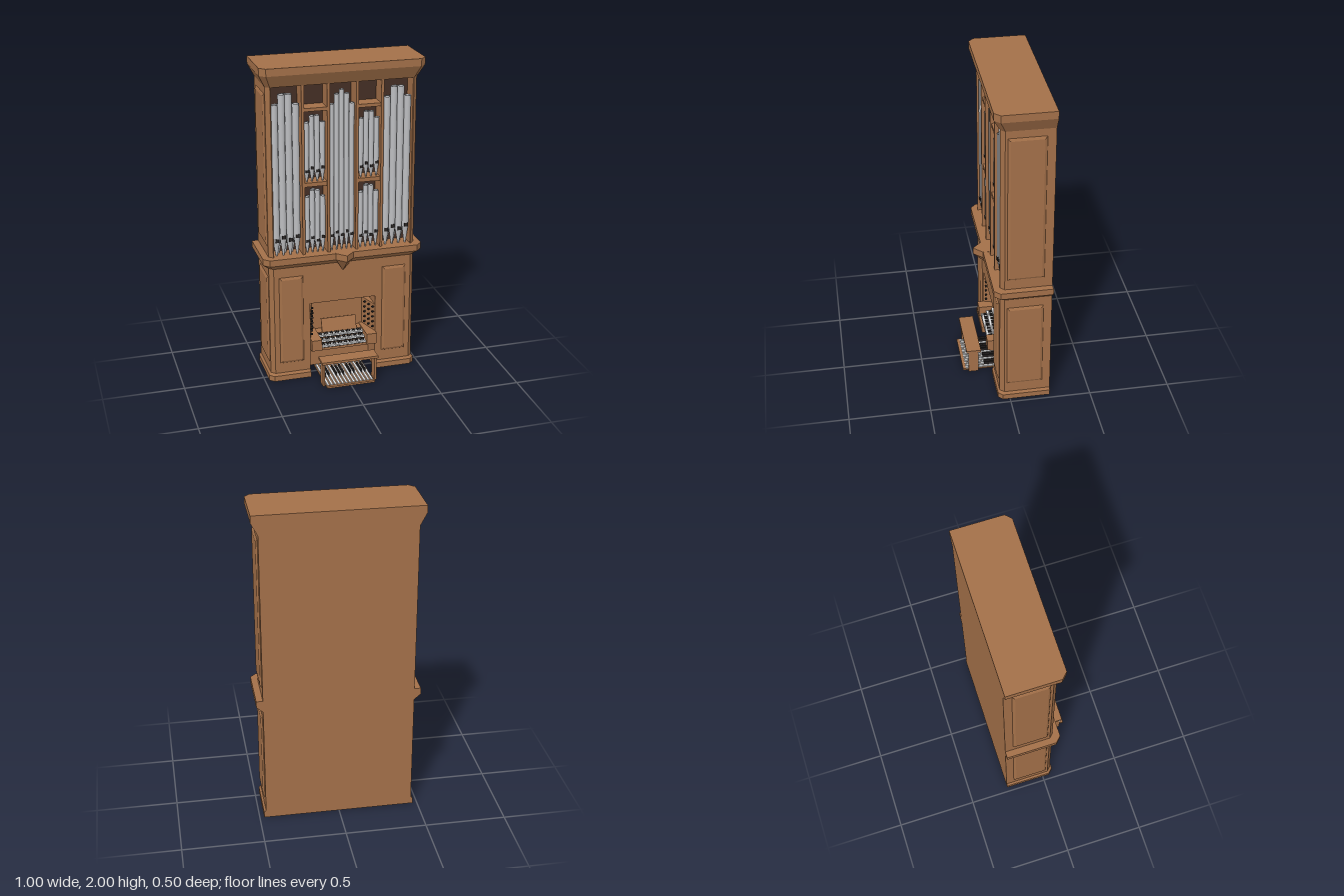
import * as THREE from 'three';

const mat = (name, color) => {
  const m = new THREE.MeshStandardMaterial({ color });
  m.name = name;
  return m;
};

// Prism or taper through rings of [x, z] points at rising heights, capped, flat normals
function loft(levels) {
  const flat = p => new THREE.Vector2(p[0], -p[1]);
  if (THREE.ShapeUtils.area(levels[0][1].map(flat)) < 0) {
    levels = levels.map(([y, r]) => [y, [...r].reverse()]);
  }
  const pos = [];
  const put = (y, p) => pos.push(p[0], y, p[1]);
  for (let k = 0; k < levels.length - 1; k++) {
    const [ya, a] = levels[k], [yb, b] = levels[k + 1];
    for (let i = 0; i < a.length; i++) {
      const j = (i + 1) % a.length;
      put(ya, a[i]); put(ya, a[j]); put(yb, b[j]);
      put(ya, a[i]); put(yb, b[j]); put(yb, b[i]);
    }
  }
  const tris = THREE.ShapeUtils.triangulateShape(levels[0][1].map(flat), []);
  const [y0, bottom] = levels[0], [y1, top] = levels[levels.length - 1];
  for (const [a, b, c] of tris) {
    put(y0, bottom[a]); put(y0, bottom[c]); put(y0, bottom[b]);
    put(y1, top[a]); put(y1, top[b]); put(y1, top[c]);
  }
  const g = new THREE.BufferGeometry();
  g.setAttribute('position', new THREE.Float32BufferAttribute(pos, 3));
  g.computeVertexNormals();
  return g;
}

// Case plan: flat back, chamfered front corners, optional notch cut in the front
function plan(e, notch) {
  const w = 0.46 + e, f = 0.06 + e, c = 0.025 + e * 0.25;
  const cut = notch ? [[-notch[0], f], [-notch[0], notch[1]], [notch[0], notch[1]], [notch[0], f]] : [];
  return [[-w + c, f], ...cut, [w - c, f], [w, f - c], [w, -0.25], [-w, -0.25], [-w, f - c]];
}
const caseGeo = (steps, notch) => loft(steps.map(([y, e]) => [y, plan(e, notch)]));

const rect = (w, h) => [[-w / 2, h / 2], [w / 2, h / 2], [w / 2, -h / 2], [-w / 2, -h / 2]];

export function createModel() {
  const root = new THREE.Group();
  root.name = 'pipeOrgan';
  const wood = mat('wood', 0xa37049);
  const dark = mat('darkWood', 0x452f25);
  const metal = mat('pipeMetal', 0xbcbdc0);
  metal.side = THREE.DoubleSide;
  const white = mat('ivory', 0xdedfe0);
  const black = mat('ebony', 0x2a2625);

  const add = (name, geo, m, x = 0, y = 0, z = 0, parent = root) => {
    const mesh = new THREE.Mesh(geo, m);
    mesh.name = name;
    mesh.position.set(x, y, z);
    parent.add(mesh);
    return mesh;
  };
  const box = (name, m, w, h, d, x, y, z, parent) =>
    add(name, new THREE.BoxGeometry(w, h, d), m, x, y, z, parent);

  // Case
  add('lowerCase', caseGeo([[0, 0.012], [0.035, 0.012], [0.05, 0], [0.5, 0]], [0.21, -0.08]), wood);
  add('middleLedge', caseGeo([[0.5, 0], [0.755, 0], [0.79, 0.04], [0.83, 0.04]]), wood);
  add('upperCase', caseGeo([[0.83, 0], [1.88, 0]], [0.43, -0.05]), wood);
  add('cornice', caseGeo([[1.88, 0], [1.955, 0.04], [2, 0.04]]), wood);
  box('pipeBacking', dark, 0.86, 1.05, 0.006, 0, 1.355, -0.047);

  // Pointed bracket in the middle of the ledge
  const prow = [[-0.055, 0.06], [-0.055, 0.1], [0, 0.155], [0.055, 0.1], [0.055, 0.06]];
  add('centreBracket', loft([
    [0.7, prow.map(p => [p[0] * 0.01, 0.058 + (p[1] - 0.06) * 0.01])], [0.79, prow], [0.831, prow],
  ]), wood);

  // Raised panels on the sides and lower front
  const panel = (name, w, h, x, y, z, turn) => {
    const g = loft([[0, rect(w, h)], [0.004, rect(w - 0.006, h - 0.006)], [0.01, rect(w - 0.03, h - 0.03)]]);
    g.rotateX(Math.PI / 2);
    add(name, g, wood, x, y, z).rotation.y = turn;
  };
  for (const s of [-1, 1]) {
    panel('lowerFrontPanel', 0.15, 0.575, s * 0.328, 0.405, 0.06, 0);
    panel('lowerSidePanel', 0.22, 0.575, s * 0.46, 0.405, -0.09, s * Math.PI / 2);
    panel('upperSidePanel', 0.22, 0.94, s * 0.46, 1.365, -0.09, s * Math.PI / 2);
    // Posts and shelves between the pipe bays
    box('bayPost', wood, 0.016, 1.05, 0.105, s * 0.243, 1.355, 0.008);
    box('bayPost', wood, 0.016, 1.05, 0.105, s * 0.088, 1.355, 0.008);
    box('bayShelf', wood, 0.14, 0.025, 0.1, s * 0.165, 1.27, 0.003);
    box('bayTopRail', wood, 0.14, 0.02, 0.1, s * 0.165, 1.73, 0.003);
  }

  // Pipes: tapered foot, open cylinder, dark mouth
  const pipe = (x, y, z, r, foot, top, parent) => {
    const h = top - y;
    const pts = [[r * 0.25, 0], [r, foot], [r, foot], [r, h], [r * 0.85, h], [r * 0.85, h - 0.03]];
    add('pipe', new THREE.LatheGeometry(pts.map(p => new THREE.Vector2(...p)), 14), metal, x, y, z, parent);
    box('pipeMouth', black, r * 1.1, r * 1.1, 0.004, x, y + foot + r * 0.55, z + r * 0.97, parent);
  };
  const bay = (name, cx, y, pitch, tops, foot) => {
    const group = new THREE.Group();
    group.name = name;
    root.add(group);
    const n = tops.length;
    tops.forEach((top, i) => {
      const x = cx + (i - (n - 1) / 2) * pitch;
      pipe(x, y, 0.03, pitch * 0.48, foot + (i % 2) * 0.02, top, group);
      if (i < n - 1) {
        pipe(x + pitch / 2, y, -0.012, pitch * 0.42, foot * 0.75, Math.min(top, tops[i + 1]) - 0.01, group);
      }
    });
  };
  bay('centrePipes', 0, 0.83, 0.031, [1.75, 1.81, 1.835, 1.81, 1.75], 0.09);
  for (const s of [-1, 1]) {
    bay('outerPipes', s * 0.343, 0.83, 0.0425, [1.77, 1.83, 1.83, 1.77], 0.09);
    bay('lowerInnerPipes', s * 0.167, 0.83, 0.0325, [1.19, 1.23, 1.23, 1.19], 0.07);
    bay('upperInnerPipes', s * 0.167, 1.283, 0.0325, [1.65, 1.69, 1.69, 1.65], 0.06);
  }

  // Console: key bed, cheeks, angled stop jambs, music desk
  box('keyBed', wood, 0.419, 0.015, 0.165, 0, 0.19, 0.003);
  box('keyBack', wood, 0.29, 0.06, 0.06, 0, 0.225, -0.049);
  box('musicDesk', wood, 0.225, 0.09, 0.008, 0, 0.292, -0.035).rotation.x = -0.35;
  const knob = new THREE.CylinderGeometry(0.006, 0.006, 0.018, 8).rotateZ(Math.PI / 2);
  for (const s of [-1, 1]) {
    box('keyCheek', wood, 0.065, 0.07, 0.18, s * 0.1775, 0.225, 0.01);
    const ring = [[s * 0.2095, 0.062], [s * 0.2095, -0.08], [s * 0.165, -0.08]];
    add('stopJamb', loft([[0.26, ring], [0.44, ring]]), wood);
    for (let c = 0; c < 3; c++) {
      for (let r = 0; r < 5; r++) {
        const t = 0.12 + c * 0.3;
        add('stopKnob', knob, black, s * (0.2055 - t * 0.0445), 0.285 + r * 0.034, 0.062 - t * 0.142)
          .rotation.y = s * 0.3;
      }
    }
  }

  // Three manuals
  const hasSharp = i => ![2, 6].includes(i % 7);
  const naturalKey = new THREE.BoxGeometry(0.0092, 0.008, 0.038);
  const sharpKey = new THREE.BoxGeometry(0.0055, 0.007, 0.022);
  for (let t = 0; t < 3; t++) {
    const manual = new THREE.Group();
    manual.name = 'manual';
    manual.position.set(0, 0.207 + t * 0.019, 0.068 - t * 0.034);
    root.add(manual);
    box('keyFrame', black, 0.288, 0.011, 0.036, 0, -0.006, -0.003, manual);
    for (let i = 0; i < 28; i++) {
      const x = (i - 13.5) * 0.0103;
      add('naturalKey', naturalKey, white, x, 0, 0, manual);
      if (hasSharp(i) && i < 27) add('sharpKey', sharpKey, black, x + 0.00515, 0.006, -0.007, manual);
    }
  }

  // Pedalboard
  box('pedalBase', wood, 0.31, 0.006, 0.32, 0, 0.003, 0.09);
  box('pedalFrontRail', wood, 0.31, 0.012, 0.018, 0, 0.006, 0.241);
  for (let i = 0; i < 13; i++) {
    const x = (i - 6) * 0.0235;
    box('naturalPedal', white, 0.013, 0.008, 0.29, x, 0.01, 0.087);
    if (hasSharp(i) && i < 12) box('sharpPedal', black, 0.009, 0.024, 0.1, x + 0.01175, 0.018, 0.06);
  }

  // Bench
  box('benchSeat', wood, 0.36, 0.016, 0.092, 0, 0.161, 0.183);
  for (const s of [-1, 1]) box('benchLeg', wood, 0.014, 0.153, 0.062, s * 0.166, 0.0765, 0.185);
  box('benchStretcher', wood, 0.32, 0.014, 0.012, 0, 0.147, 0.183);

  return root;
}
